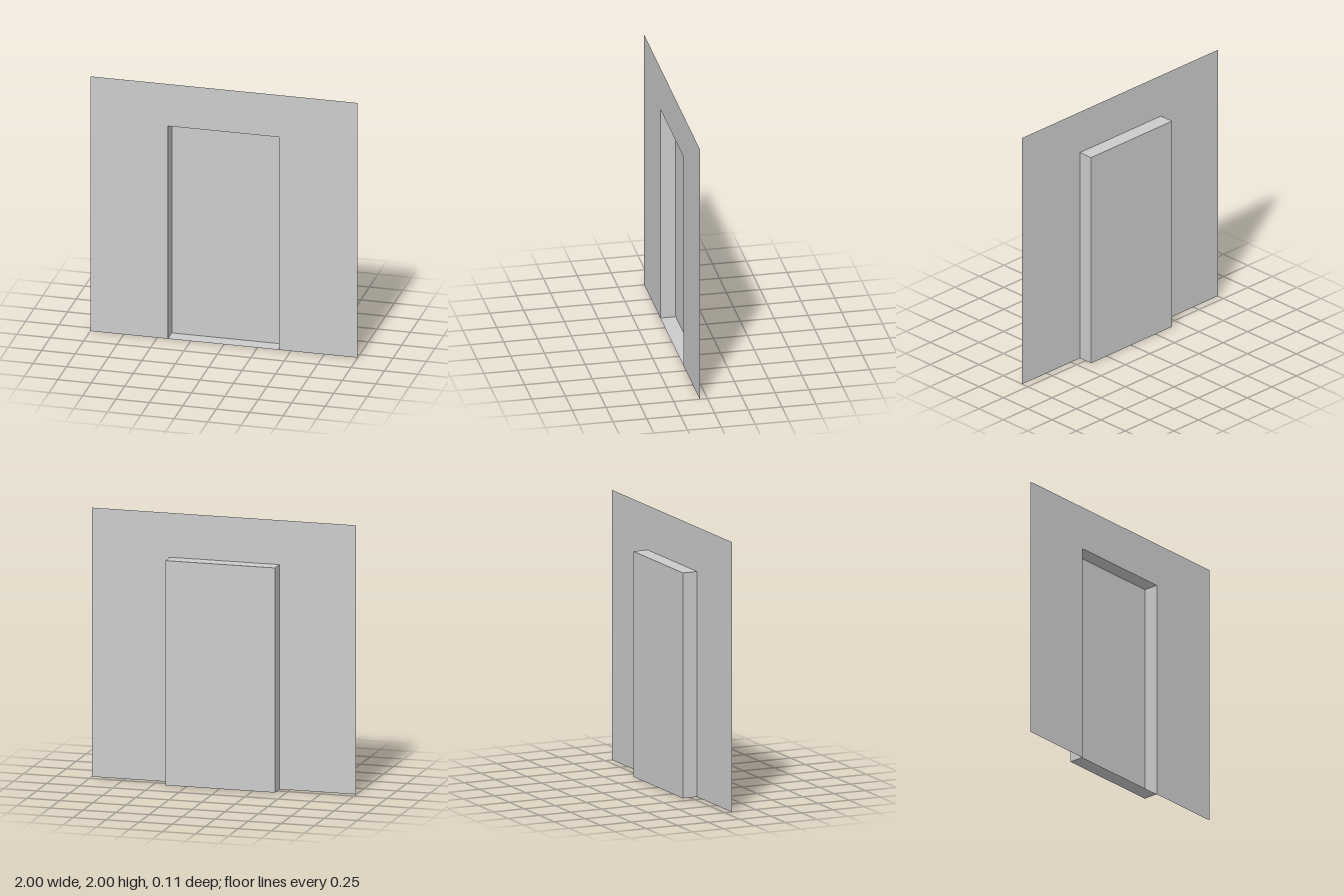
import * as THREE from 'three';

export function createModel() {
  const group = new THREE.Group();
  const material = new THREE.MeshStandardMaterial({ color: 0xcccccc, side: THREE.DoubleSide });

  const left = -0.42, right = 0.41, top = 1.67; // doorway opening
  const front = 0.057, depth = 0.114;
  const width = right - left, midX = (left + right) / 2;

  function add(name, geometry, x, y, z, rx = 0, ry = 0) {
    const mesh = new THREE.Mesh(geometry, material);
    mesh.name = name;
    mesh.position.set(x, y, z);
    mesh.rotation.set(rx, ry, 0);
    group.add(mesh);
  }

  // Thin wall with the doorway notched out of its lower edge
  const outline = new THREE.Shape([
    [-1, 0], [left, 0], [left, top], [right, top],
    [right, 0], [1, 0], [1, 2], [-1, 2],
  ].map(([x, y]) => new THREE.Vector2(x, y)));
  add('wall', new THREE.ShapeGeometry(outline), 0, 0, front);

  // Recess behind the opening: back panel, jambs, lintel and threshold, facing inward
  add('doorPanel', new THREE.PlaneGeometry(width, top), midX, top / 2, front - depth);
  const jamb = new THREE.PlaneGeometry(depth, top);
  add('rightJamb', jamb, left, top / 2, 0, 0, Math.PI / 2);
  add('leftJamb', jamb, right, top / 2, 0, 0, -Math.PI / 2);
  const ledge = new THREE.PlaneGeometry(width, depth);
  add('threshold', ledge, midX, 0, 0, -Math.PI / 2);
  add('lintel', ledge, midX, top, 0, Math.PI / 2);

  return group;
}
